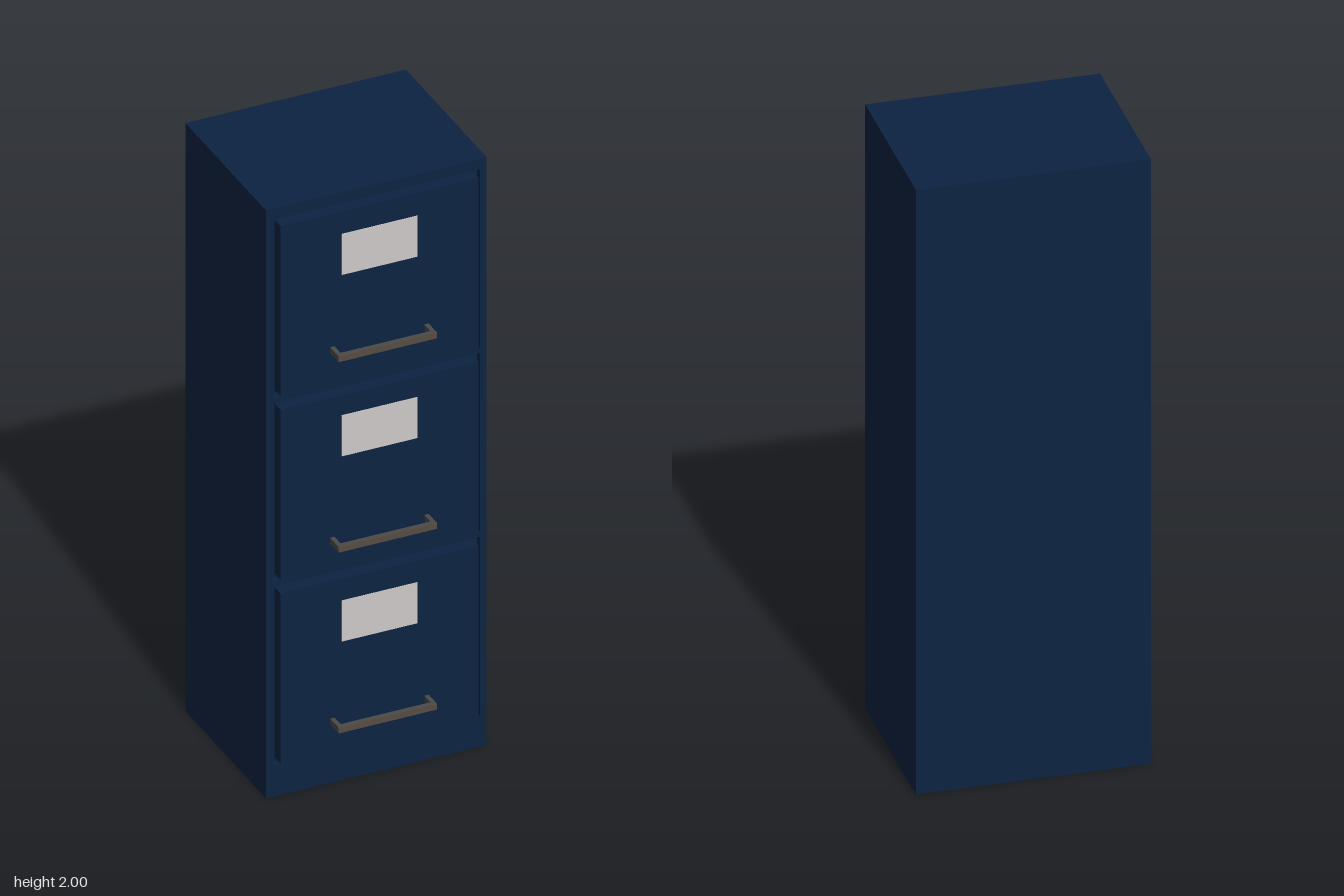
import * as THREE from 'three';

export function createModel() {
  const navy = new THREE.MeshStandardMaterial({ name: 'navy paint', color: 0x0c2342 });
  const grey = new THREE.MeshStandardMaterial({ name: 'dark metal', color: 0x4b4a4a });
  const brown = new THREE.MeshStandardMaterial({ name: 'bronze', color: 0x564c42 });
  const card = new THREE.MeshStandardMaterial({ name: 'label card', color: 0xcecaca });

  const cabinet = new THREE.Group();
  cabinet.name = 'filingCabinet';

  const add = (parent, name, geometry, material, x, y, z) => {
    const mesh = new THREE.Mesh(geometry, material);
    mesh.name = name;
    mesh.position.set(x, y, z);
    parent.add(mesh);
    return mesh;
  };
  const box = (parent, name, material, w, h, d, x, y, z) =>
    add(parent, name, new THREE.BoxGeometry(w, h, d), material, x, y, z);
  const rectangle = (path, x, y0, y1) => {
    path.moveTo(-x, y0);
    path.lineTo(x, y0);
    path.lineTo(x, y1);
    path.lineTo(-x, y1);
    path.closePath();
    return path;
  };

  const W = 0.356, BACK = -0.315, FRONT = 0.236, RECESS = 0.02, FACE = 0.257;
  const GAP = 0.014;
  const drawers = [
    { bottom: 0.12, top: 0.70, label: 0.556, handle: 0.223 },
    { bottom: 0.745, top: 1.325, label: 1.186, handle: 0.838 },
    { bottom: 1.37, top: 1.95, label: 1.803, handle: 1.486 },
  ];

  // Body, closed behind the drawer recesses
  const depth = FRONT - RECESS - BACK;
  box(cabinet, 'body', navy, W * 2, 2, depth, 0, 1, BACK + depth / 2);

  // Front frame with an opening around each drawer
  const frame = rectangle(new THREE.Shape(), W, 0, 2);
  for (const d of drawers) {
    frame.holes.push(rectangle(new THREE.Path(), 0.32 + GAP, d.bottom - GAP, d.top + GAP));
  }
  add(cabinet, 'frontFrame',
    new THREE.ExtrudeGeometry(frame, { depth: RECESS, bevelEnabled: false }),
    navy, 0, 0, FRONT - RECESS);

  for (const d of drawers) {
    const drawer = new THREE.Group();
    drawer.name = 'drawer';
    cabinet.add(drawer);

    // Drawer front and its label
    const thick = FACE - FRONT + RECESS;
    box(drawer, 'drawerFront', navy, 0.64, d.top - d.bottom, thick,
      0, (d.top + d.bottom) / 2, FACE - thick / 2);
    box(drawer, 'label', card, 0.244, 0.139, 0.002, 0, d.label, FACE + 0.001);

    // Pull handle: two posts and a bar with a bronze face
    const handle = new THREE.Group();
    handle.name = 'handle';
    drawer.add(handle);
    for (const side of [-1, 1]) {
      box(handle, 'handlePost', grey, 0.014, 0.02, 0.041, side * 0.152, d.handle, FACE + 0.0205);
    }
    box(handle, 'handleBar', grey, 0.318, 0.02, 0.014, 0, d.handle, 0.305);
    box(handle, 'handleFace', brown, 0.318, 0.02, 0.002, 0, d.handle, 0.313);
  }
  return cabinet;
}
